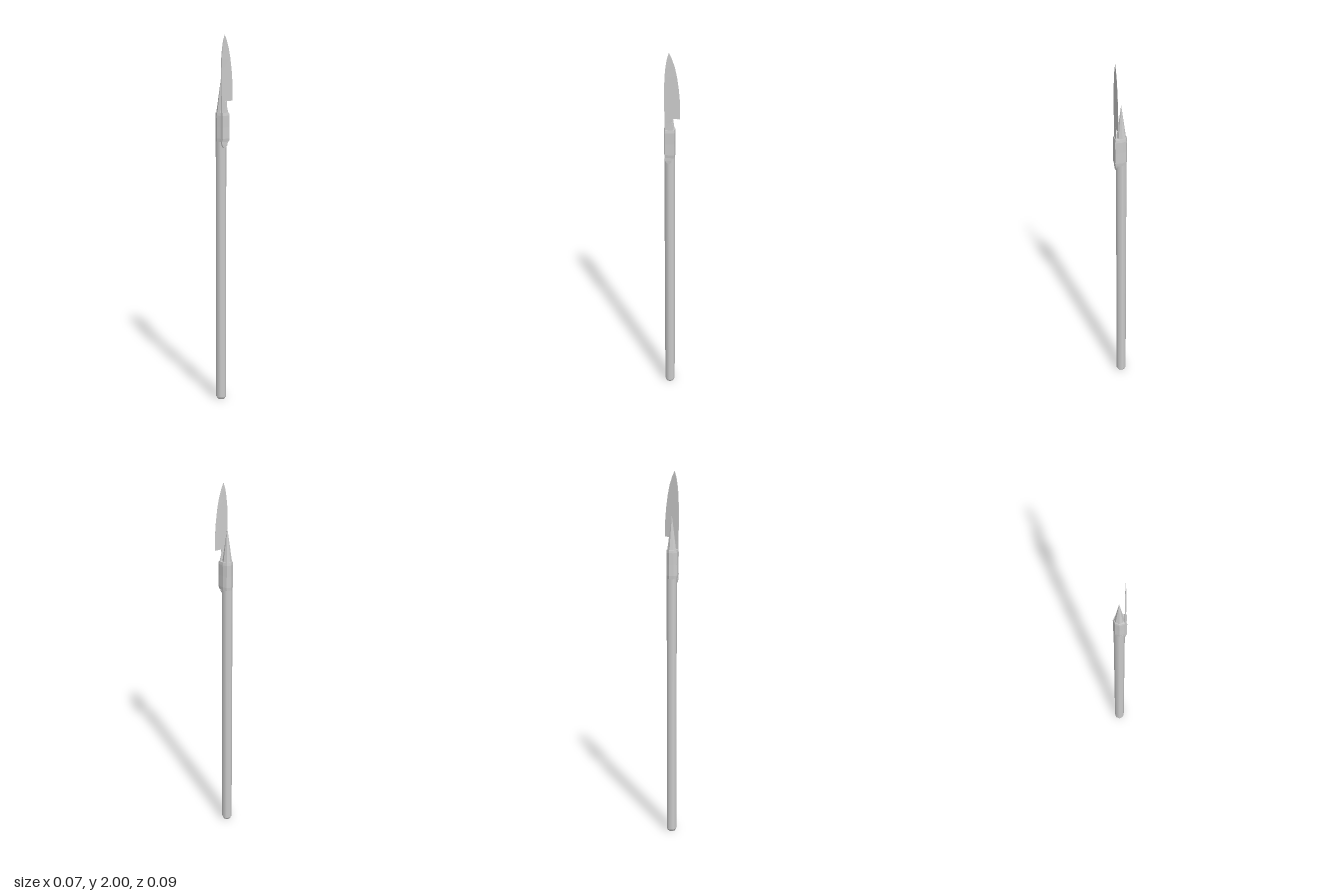
import * as THREE from 'three';

const CX = -0.005, CZ = 0.013; // axis of the shaft

// Skin through rings of [x, y, z]; each ring runs counter-clockwise seen from above
function loft(rings) {
  const n = rings[0].length, pos = [], idx = [];
  rings.forEach(r => r.forEach(p => pos.push(...p)));
  for (let j = 0; j < rings.length - 1; j++) {
    for (let i = 0; i < n; i++) {
      const a = j * n + i, b = j * n + (i + 1) % n;
      idx.push(a, b, b + n, a, b + n, a + n);
    }
  }
  const top = (rings.length - 1) * n;
  for (let i = 1; i < n - 1; i++) {
    idx.push(0, i + 1, i);
    idx.push(top, top + i, top + i + 1);
  }
  const g = new THREE.BufferGeometry();
  g.setAttribute('position', new THREE.Float32BufferAttribute(pos, 3));
  g.setIndex(idx);
  g.computeVertexNormals();
  return g;
}

export function createModel() {
  const group = new THREE.Group();
  const smooth = new THREE.MeshStandardMaterial({ color: 0xcccccc });
  const flat = new THREE.MeshStandardMaterial({ color: 0xcccccc, flatShading: true, side: THREE.DoubleSide });
  const add = (name, geometry, material) => {
    const mesh = new THREE.Mesh(geometry, material);
    mesh.name = name;
    group.add(mesh);
    return mesh;
  };

  // Eight-sided shaft with a small bevel at the foot
  const cyl = (name, rTop, rBottom, y0, y1, material) =>
    add(name, new THREE.CylinderGeometry(rTop, rBottom, y1 - y0, 8), material)
      .position.set(CX, (y0 + y1) / 2, CZ);
  cyl('shaft', 0.028, 0.028, 0.012, 1.595, smooth);
  cyl('shaftFoot', 0.028, 0.021, 0, 0.012, smooth);

  // Sharpened point of the shaft
  cyl('shaftPoint', 0, 0.026, 1.59, 1.78, flat);

  // Binding that wraps the shaft and the tang together
  const outline = [
    [0.033, 0.034], [0.033, -0.014], [0.018, -0.016], [-0.005, -0.017], [-0.026, -0.008],
    [-0.036, 0.013], [-0.026, 0.034], [-0.005, 0.043], [0.017, 0.036],
  ];
  const bands = [[1.448, 0.94], [1.465, 1], [1.525, 0.98], [1.585, 1], [1.6, 0.94]];
  add('binding', loft(bands.map(([y, s]) =>
    outline.map(([x, z]) => [CX + (x - CX) * s, y, CZ + (z - CZ) * s]))), flat);

  // Blade and tang: [height, z of back, z of edge, half thickness at back, at edge]
  const sections = [
    [1.415, 0.022, 0.008, 0.003, 0.003],
    [1.43, 0.033, -0.003, 0.004, 0.004],
    [1.45, 0.036, -0.008, 0.004, 0.004],
    [1.6, 0.036, -0.010, 0.003, 0.003],
    [1.64, 0.036, 0.000, 0.003, 0.002],
    [1.66, 0.036, -0.002, 0.003, 0.002],
    [1.661, 0.036, -0.043, 0.003, 0.0003],
    [1.74, 0.037, -0.043, 0.003, 0.0003],
    [1.81, 0.037, -0.037, 0.003, 0.0003],
    [1.88, 0.035, -0.027, 0.003, 0.0003],
    [1.93, 0.030, -0.016, 0.0025, 0.0003],
    [1.97, 0.023, -0.002, 0.002, 0.0003],
    [2.0, 0.014, 0.012, 0.0003, 0.0003],
  ];
  const bx = 0.024;
  add('blade', loft(sections.map(([y, back, edge, hb, he]) => [
    [bx + hb, y, back], [bx + he, y, edge], [bx - he, y, edge], [bx - hb, y, back],
  ])), flat);

  return group;
}
